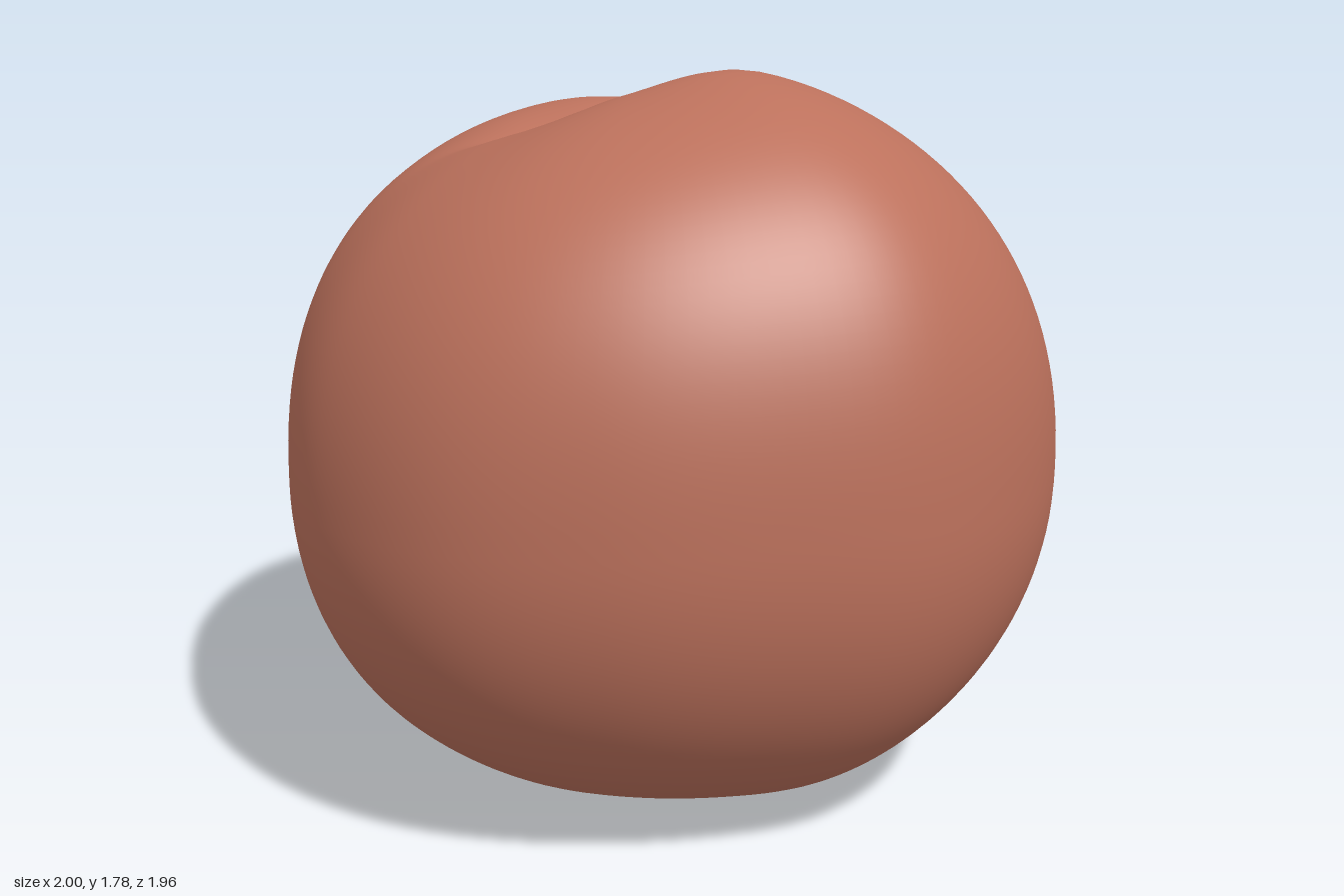
import * as THREE from 'three';

// Smooth cyclic interpolation of evenly spaced values around the fruit
function around(values, phi) {
  const n = values.length;
  const f = ((phi / (2 * Math.PI)) % 1 + 1) % 1 * n;
  const i = Math.floor(f), t = f - i;
  const [a, b, c, d] = [-1, 0, 1, 2].map(k => values[(i + k + n) % n]);
  return b + 0.5 * t * (c - a + t * (2 * a - 5 * b + 4 * c - d + t * (3 * (b - c) + d - a)));
}

// Values run from +x towards +z
const outline = [1, 0.958, 0.962, 0.985, 0.968, 0.932, 0.948, 0.99,
  0.995, 1.02, 1.07, 1.04, 0.975, 0.962, 0.985, 1];
const topHeight = [1.02, 0.97, 0.9, 0.88, 0.92, 0.92, 0.92, 1.0];
const topFullness = [2.4, 2.4, 2.3, 2.45, 2.45, 2.15, 2.0, 2.1];
const baseFullness = [2.25, 2.15, 2.1, 2.1, 2.5, 2.5, 2.4, 2.15];
const SEAM = -1.22; // direction of the seam, towards the back

// Crease through (cx, cz) along an angle, deepest in its middle
function crease(x, z, cx, cz, angle, length, width) {
  const dx = x - cx, dz = z - cz;
  const along = dx * Math.cos(angle) + dz * Math.sin(angle);
  const across = dz * Math.cos(angle) - dx * Math.sin(angle);
  return Math.exp(-((along / length) ** 2) - Math.hypot(across, 0.02) / width);
}

function skinPoint(t, phi) {
  const c = Math.cos(t), s = Math.sin(t), top = s > 0;
  const n = around(top ? topFullness : baseFullness, phi);
  const rho = Math.pow(Math.max(c, 0), 2 / n);
  const rise = Math.pow(Math.abs(s), 2 / n);

  // Cross-sections drift towards the stem cavity above and the blossom end below
  const [cx, cz] = top ? [-0.1, 0.01] : [0, -0.12];
  const drift = (1 - rho) ** 2;
  const seam = 0.006 * Math.exp(-(((phi - SEAM - 2 * Math.PI) / 0.08) ** 2)) * c * (top ? 1 : c);
  const r = around(outline, phi) * rho * (1 - seam);
  const x = r * Math.cos(phi) + cx * drift;
  const z = r * Math.sin(phi) + cz * drift;

  let y;
  if (top) {
    const blend = THREE.MathUtils.smoothstep(rho, 0, 0.32);
    const h = THREE.MathUtils.lerp(0.92, around(topHeight, phi), blend);
    y = 0.8 + h * rise;
    y -= 0.18 * crease(x, z, -0.1, 0.01, SEAM, 0.3, 0.12);
  } else {
    y = 0.8 - 0.83 * rise;
    y += 0.25 * crease(x, z, 0.02, -0.14, -0.8, 0.36, 0.11);
  }
  return [x, y + 0.05 * x * c * c, z];
}

function fruitGeometry(rows = 80, cols = 120) {
  const pos = [], index = [];
  pos.push(...skinPoint(Math.PI / 2, 0));
  for (let i = 1; i < rows; i++) {
    for (let j = 0; j < cols; j++) {
      pos.push(...skinPoint(Math.PI * (0.5 - i / rows), 2 * Math.PI * j / cols));
    }
  }
  pos.push(...skinPoint(-Math.PI / 2, 0));
  const last = pos.length / 3 - 1;
  const at = (i, j) => 1 + (i - 1) * cols + j % cols;
  for (let j = 0; j < cols; j++) {
    index.push(0, at(1, j + 1), at(1, j));
    for (let i = 1; i < rows - 1; i++) {
      const a = at(i, j), b = at(i, j + 1), c = at(i + 1, j), d = at(i + 1, j + 1);
      index.push(a, b, c, b, d, c);
    }
    index.push(last, at(rows - 1, j), at(rows - 1, j + 1));
  }
  const g = new THREE.BufferGeometry();
  g.setAttribute('position', new THREE.Float32BufferAttribute(pos, 3));
  g.setIndex(index);
  // Centre the fruit and rest it on the ground
  g.computeBoundingBox();
  const b = g.boundingBox;
  g.translate(-(b.min.x + b.max.x) / 2, -b.min.y, -(b.min.z + b.max.z) / 2);
  g.computeVertexNormals();
  return g;
}

export function createModel() {
  const skin = new THREE.MeshStandardMaterial({ color: 0xbc715c });
  skin.name = 'peach skin';
  const fruit = new THREE.Mesh(fruitGeometry(), skin);
  fruit.name = 'fruit';
  const model = new THREE.Group();
  model.name = 'peach';
  model.add(fruit);
  return model;
}
